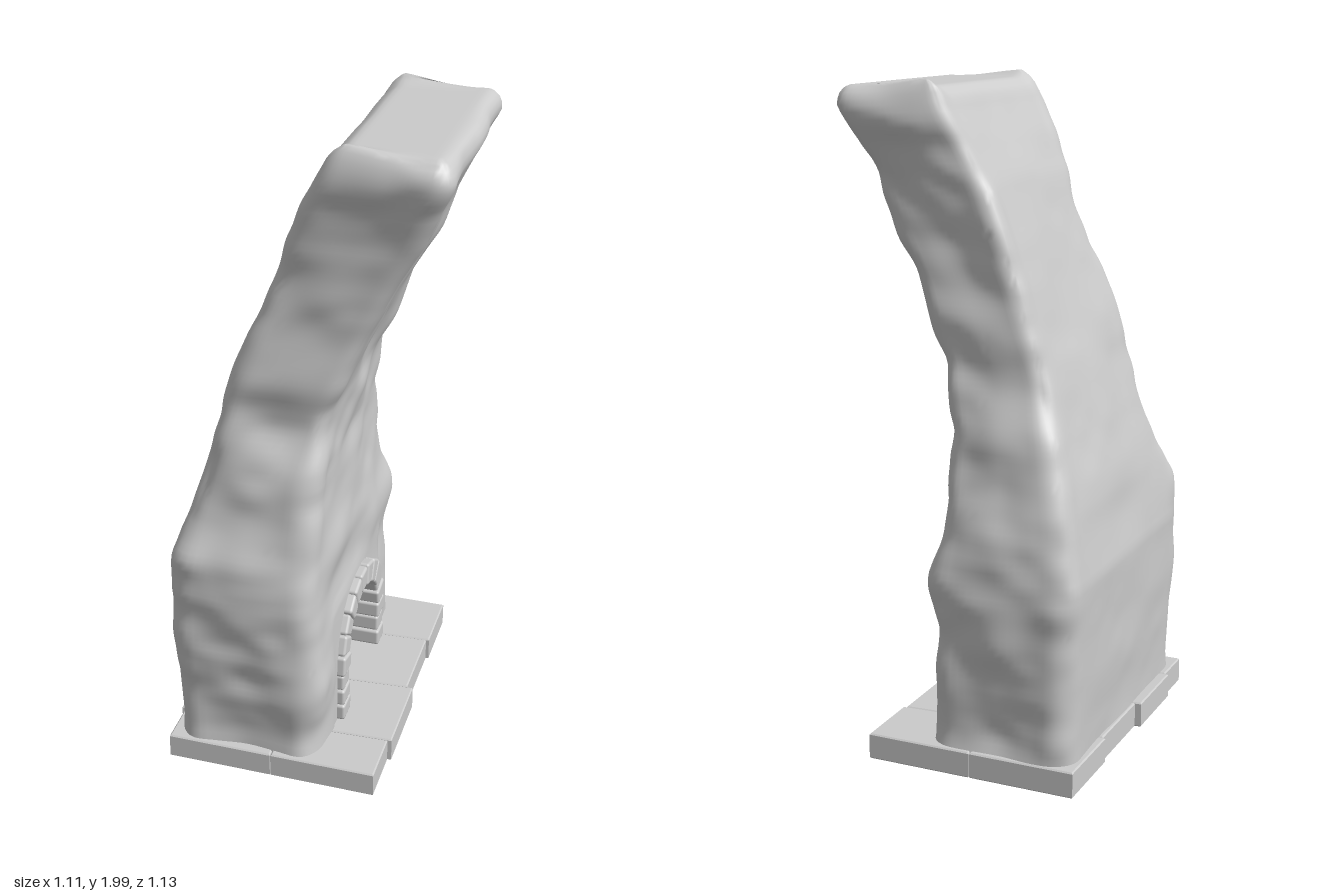
import * as THREE from 'three';
import { mergeVertices, toCreasedNormals } from 'three/addons/utils/BufferGeometryUtils.js';
import { RoundedBoxGeometry } from 'three/addons/geometries/RoundedBoxGeometry.js';

const { lerp, clamp, smoothstep } = THREE.MathUtils;
const stone = new THREE.MeshStandardMaterial({ color: 0xcccccc });

// Chimney outline by height: [y, half width, back z, front z]
const PROFILE = [
  [0.07, 0.455, -0.31, 0.145], [0.3, 0.46, -0.315, 0.145], [0.6, 0.465, -0.32, 0.14],
  [0.8, 0.43, -0.285, 0.12], [1.0, 0.37, -0.235, 0.115], [1.2, 0.33, -0.175, 0.15],
  [1.45, 0.31, -0.085, 0.25], [1.7, 0.305, 0.01, 0.375], [1.82, 0.32, 0.07, 0.42],
  [1.91, 0.345, 0.12, 0.465], [1.98, 0.345, 0.15, 0.46],
];
const TOP = 1.97;
const ARCH = { y: 0.245, radius: 0.205, thick: 0.07, front: 0.17, depth: 0.14 };

function sectionAt(y) {
  let i = 0;
  while (i < PROFILE.length - 2 && y > PROFILE[i + 1][0]) i++;
  const a = PROFILE[i], b = PROFILE[i + 1];
  const t = clamp((y - a[0]) / (b[0] - a[0]), 0, 1);
  return [1, 2, 3].map((k) => lerp(a[k], b[k], t));
}

// Seeded value noise in the range -1..1
function hash(x, y, z) {
  const s = Math.sin(x * 127.1 + y * 311.7 + z * 74.7 + 5.3) * 43758.5453;
  return (s - Math.floor(s)) * 2 - 1;
}
function noise(x, y, z) {
  const c = [x, y, z].map(Math.floor);
  const f = [x - c[0], y - c[1], z - c[2]].map((t) => t * t * (3 - 2 * t));
  let sum = 0;
  for (let i = 0; i < 8; i++) {
    const o = [i & 1, (i >> 1) & 1, i >> 2];
    const weight = o.reduce((p, on, k) => p * (on ? f[k] : 1 - f[k]), 1);
    sum += weight * hash(c[0] + o[0], c[1] + o[1], c[2] + o[2]);
  }
  return sum;
}

// Leaning rough body with rounded corners and a hearth pressed into the front
function chimneyGeometry() {
  let geo = new THREE.BoxGeometry(2, 1, 2, 48, 100, 22);
  geo.deleteAttribute('normal');
  geo.deleteAttribute('uv');
  geo = mergeVertices(geo);
  const pos = geo.attributes.position;
  const p = new THREE.Vector3(), q = new THREE.Vector3(), d = new THREE.Vector3();
  for (let i = 0; i < pos.count; i++) {
    const s = pos.getX(i), t = pos.getZ(i);
    const y = lerp(0.07, TOP, pos.getY(i) + 0.5);
    const [w, back, front] = sectionAt(y);
    const mid = (back + front) / 2, half = (front - back) / 2;

    // Round the upright corners and the rim
    const r = lerp(0.085, 0.04, y / TOP);
    p.set(s * w, y, t * half);
    q.set(clamp(p.x, r - w, w - r), Math.min(y, TOP - r), clamp(p.z, r - half, half - r));
    d.subVectors(p, q);
    if (d.length() > r) d.setLength(r);
    p.addVectors(q, d);

    // Rough stone, strongest at the ends and calm on the back
    const end = smoothstep(Math.abs(s), 0.75, 1);
    const face = t > 0.9 ? 0.018 : 0.006;
    const bump = noise(p.x * 5, y * 7, p.z * 5 + 9) + 0.25 * noise(p.x * 11 + 4, y * 15, p.z * 11);
    d.y = 0;
    if (d.lengthSq() > 1e-8) d.normalize();
    const hearthCalm = t > 0.9 && Math.abs(p.x) < 0.27 && y < 0.5 ? 0.3 : 1;
    p.addScaledVector(d, bump * lerp(face, 0.03, end) * hearthCalm);

    // Raised back corners on the top
    p.y += smoothstep(y, 1.85, TOP) * end * smoothstep(-t, -0.6, 1) * 0.03;

    // Hearth recess
    p.z += mid;
    const up = Math.max(0, y - ARCH.y);
    if (t > 0.99 && Math.hypot(p.x, up) < ARCH.radius) p.z = -0.1;
    pos.setXYZ(i, p.x, p.y, p.z);
  }
  return toCreasedNormals(geo, 0.85);
}

function add(parent, name, geometry) {
  const mesh = new THREE.Mesh(geometry, stone);
  mesh.name = name;
  parent.add(mesh);
  return mesh;
}

// Paving slabs, four wide and two deep, with slightly slanted joints
function buildBase() {
  const base = new THREE.Group();
  base.name = 'base';
  const seams = [-0.465, -0.307, -0.042, 0.228, 0.465];
  const slant = [0, 0.015, 0.025, 0.02, 0];
  const reach = [0.325, 0.337, 0.318, 0.327];
  const gap = 0.001, bevel = 0.004, inset = gap + bevel;
  for (let i = 0; i < 4; i++) {
    for (const side of [-1, 1]) {
      const x = (k, z) => seams[k] + slant[k] * z / 0.325;
      const za = side * inset, zb = side * (reach[i] - bevel);
      const corners = [
        new THREE.Vector2(x(i, za) + inset, -za), new THREE.Vector2(x(i + 1, za) - inset, -za),
        new THREE.Vector2(x(i + 1, zb) - inset, -zb), new THREE.Vector2(x(i, zb) + inset, -zb),
      ];
      const geo = new THREE.ExtrudeGeometry(new THREE.Shape(corners), {
        depth: 0.08 - 2 * bevel, bevelSize: bevel, bevelThickness: bevel, bevelSegments: 1,
      });
      geo.rotateX(-Math.PI / 2).translate(0, bevel, 0);
      add(base, 'pavingSlab', geo);
    }
  }
  return base;
}

// Hearth surround: stacked jamb blocks and a ring of wedge stones
function buildArch() {
  const arch = new THREE.Group();
  arch.name = 'hearthArch';
  const { radius, thick, depth } = ARCH;
  const z = ARCH.front - depth / 2;
  const rows = 3, rowHeight = (ARCH.y - 0.08) / rows;
  for (const side of [-1, 1]) {
    for (let i = 0; i < rows; i++) {
      const wobble = 0.006 * hash(i, side, 2);
      const block = add(arch, 'jambStone',
        new RoundedBoxGeometry(thick + wobble, rowHeight - 0.001, depth + wobble, 2, 0.009));
      block.position.set(side * radius, 0.08 + (i + 0.5) * rowHeight, z);
    }
  }
  const count = 11, step = Math.PI / count;
  for (let i = 0; i < count; i++) {
    const wobble = 0.007 * hash(i, 7, 1);
    const geo = new RoundedBoxGeometry(radius * step - 0.001, thick + wobble, depth + wobble, 2, 0.009);
    const pos = geo.attributes.position;
    for (let k = 0; k < pos.count; k++) pos.setX(k, pos.getX(k) * (1 + pos.getY(k) / radius));
    const a = (i + 0.5) * step;
    const wedge = add(arch, 'archStone', geo);
    wedge.position.set(Math.cos(a) * radius, ARCH.y + Math.sin(a) * radius, z);
    wedge.rotation.z = a - Math.PI / 2;
  }
  return arch;
}

export function createModel() {
  const model = new THREE.Group();
  model.name = 'stoneFireplace';
  const turned = new THREE.Group();
  turned.name = 'fireplace';
  turned.rotation.y = 0.869;
  add(turned, 'chimney', chimneyGeometry());
  turned.add(buildBase(), buildArch());
  model.add(turned);
  return model;
}
